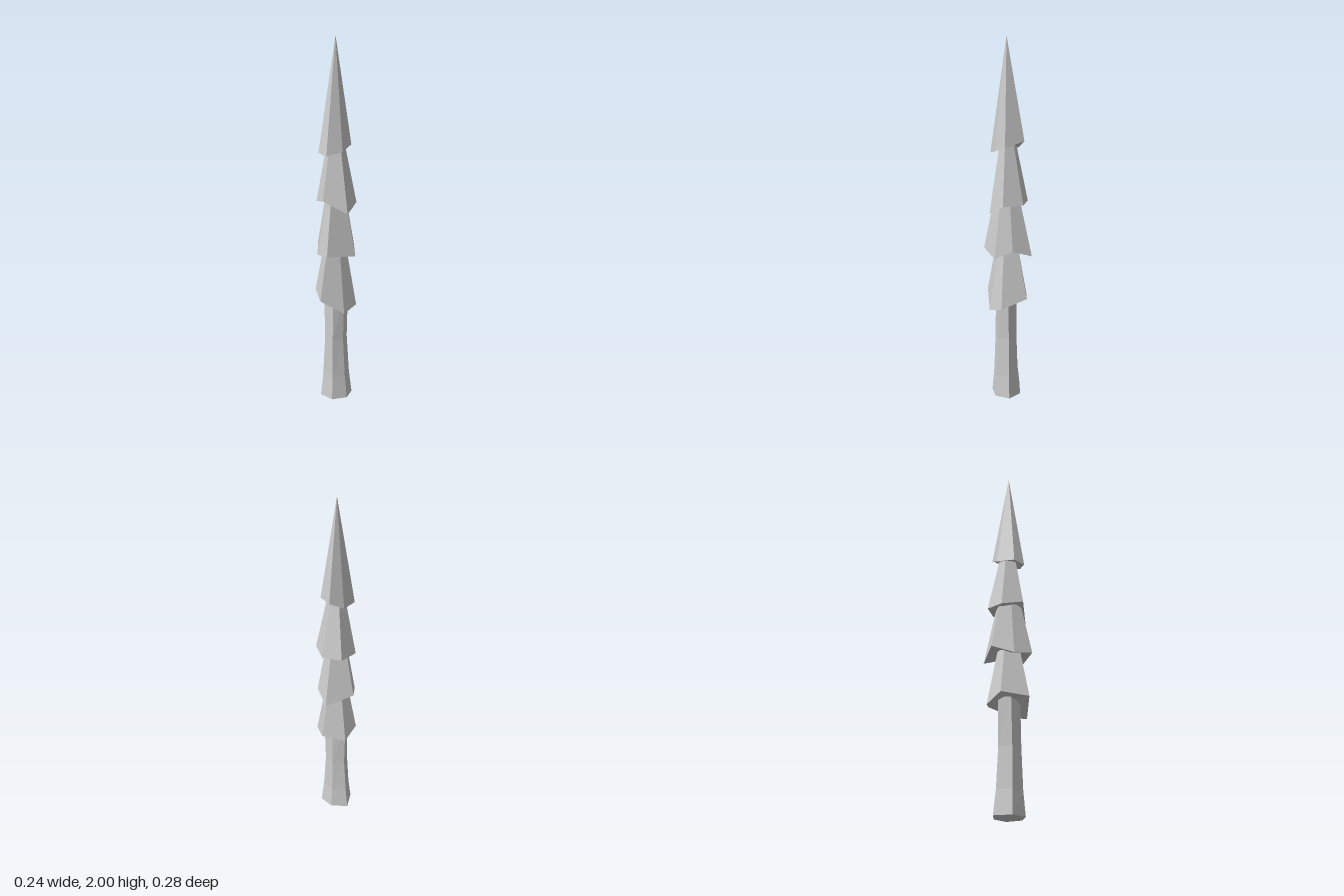
import * as THREE from 'three';

const material = new THREE.MeshStandardMaterial({ color: 0xcccccc, flatShading: true });

// Closed solid from cross-sections of equal corner count, listed bottom to top
// (corners run from the front round to the model's left, then the back).
function loft(name, rings, bottom, top) {
  const pos = [];
  const tri = (a, b, c) => pos.push(...a, ...b, ...c);
  const n = rings[0].length;
  for (let i = 0; i < n; i++) {
    const j = (i + 1) % n;
    for (let r = 0; r + 1 < rings.length; r++) {
      const lo = rings[r], hi = rings[r + 1];
      tri(lo[i], lo[j], hi[j]);
      tri(lo[i], hi[j], hi[i]);
    }
    const last = rings[rings.length - 1];
    tri(last[i], last[j], top);
    tri(bottom, rings[0][j], rings[0][i]);
  }
  const geo = new THREE.BufferGeometry();
  geo.setAttribute('position', new THREE.Float32BufferAttribute(pos, 3));
  geo.computeVertexNormals();
  const mesh = new THREE.Mesh(geo, material);
  mesh.name = name;
  return mesh;
}

export function createModel() {
  const tree = new THREE.Group();
  tree.name = 'tree';

  // Six-sided trunk, flared at the foot and slightly bent
  const foot = [[0.01, 0.09], [0.08, 0.04], [0.08, -0.045], [0, -0.077], [-0.09, -0.04], [-0.07, 0.055]];
  // each level: height, scale in x, scale in z, offset in x, offset in z
  const levels = [[0, 1, 1, 0, 0], [0.13, 0.83, 0.85, 0, 0.002], [0.35, 0.68, 0.75, 0, 0.003], [0.64, 0.76, 0.72, 0, 0.001]];
  const trunkRings = levels.map(([y, sx, sz, dx, dz]) => foot.map(([x, z]) => [x * sx + dx, y, z * sz + dz]));
  tree.add(loft('trunk', trunkRings, [0, 0, 0], [0, 0.64, 0]));

  // Tiers of foliage: uneven six-sided cones, lowest first
  const tiers = [
    { apex: 1.22, rim: [[-0.04, 0.60, 0.137], [0.075, 0.52, 0.075], [0.115, 0.55, -0.012],
      [0.03, 0.60, -0.127], [-0.09, 0.57, -0.08], [-0.116, 0.62, 0.01]] },
    { apex: 1.48, rim: [[0, 0.855, 0.14], [0.12, 0.84, 0.025], [0.083, 0.88, -0.065],
      [0, 0.84, -0.143], [-0.12, 0.88, -0.043], [-0.08, 0.84, 0.07]] },
    { apex: 1.69, rim: [[-0.035, 1.15, 0.105], [0.09, 1.08, 0.066], [0.11, 1.13, -0.02],
      [0.035, 1.13, -0.105], [-0.07, 1.13, -0.09], [-0.107, 1.125, 0.01]] },
    { apex: 2, rim: [[-0.015, 1.39, 0.105], [0.055, 1.41, 0.05], [0.08, 1.44, -0.02],
      [-0.003, 1.465, -0.095], [-0.06, 1.42, -0.04], [-0.072, 1.4, 0.07]] },
  ];
  tiers.forEach(({ apex, rim }, i) => {
    const meanY = rim.reduce((sum, p) => sum + p[1], 0) / rim.length;
    tree.add(loft('foliageTier' + (i + 1), [rim], [0, meanY + 0.02, 0], [0, apex, 0.005]));
  });
  return tree;
}
